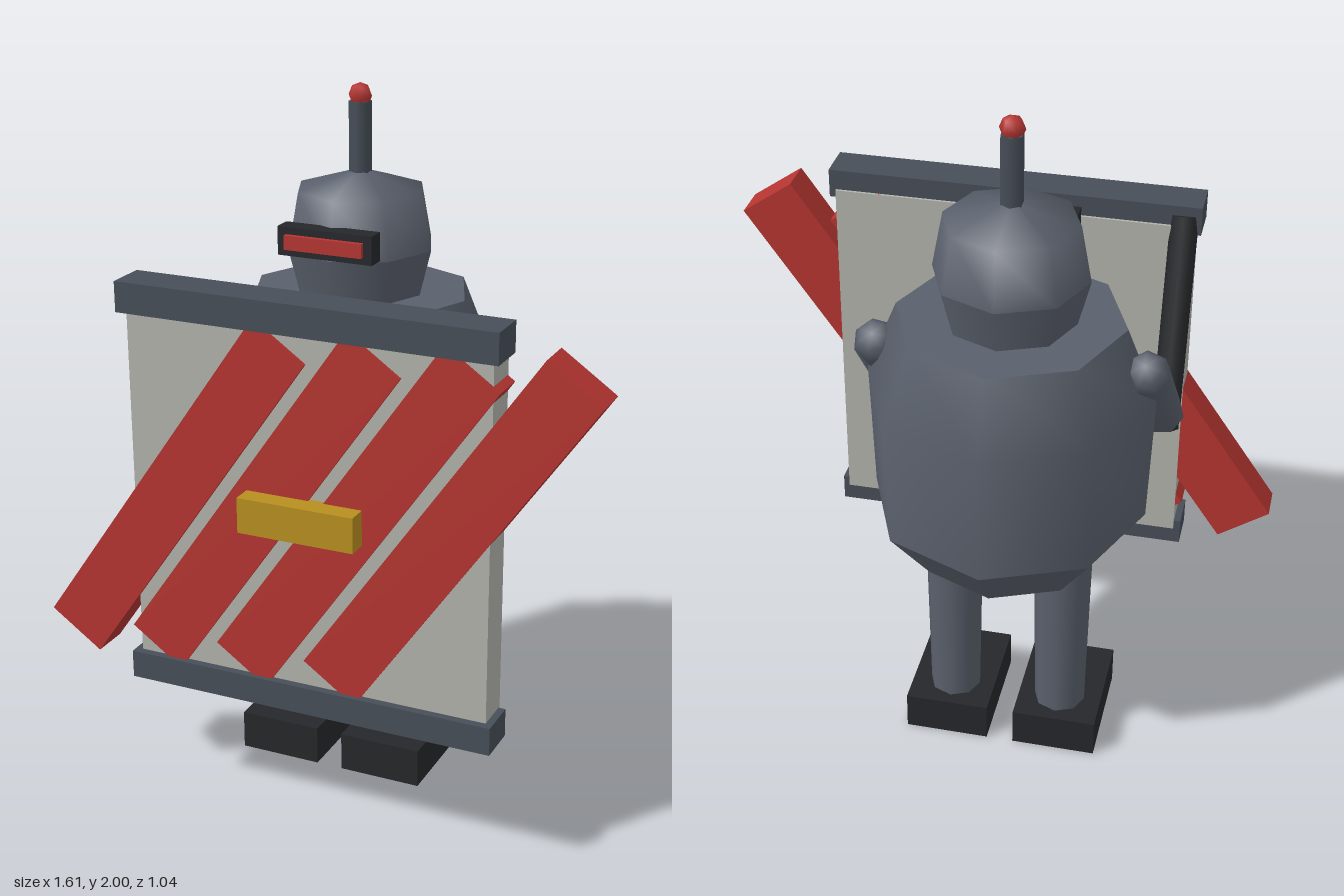
import * as THREE from 'three';

const mat = (color) => new THREE.MeshStandardMaterial({ color });
const STEEL = mat(0x5a606c), RAIL = mat(0x474e58), DARK = mat(0x25272a);
const RED = mat(0xb53531), GOLD = mat(0xb88f1f), PANEL = mat(0xb2b2ac);
const CX = -0.1, CZ = -0.12; // axis of the robot

function add(parent, name, geometry, material, x = 0, y = 0, z = 0) {
  const mesh = new THREE.Mesh(geometry, material);
  mesh.name = name;
  mesh.position.set(x, y, z);
  parent.add(mesh);
  return mesh;
}

// Box given by its limits on each axis
function box(parent, name, material, [x0, x1], [y0, y1], [z0, z1]) {
  return add(parent, name, new THREE.BoxGeometry(x1 - x0, y1 - y0, z1 - z0), material,
    (x0 + x1) / 2, (y0 + y1) / 2, (z0 + z1) / 2);
}

// Turns a y-aligned mesh so it runs from a to b
function span(mesh, a, b) {
  mesh.position.copy(a).add(b).multiplyScalar(0.5);
  mesh.quaternion.setFromUnitVectors(new THREE.Vector3(0, 1, 0), b.clone().sub(a).normalize());
}

const turned = (points) =>
  new THREE.LatheGeometry(points.map(([r, y]) => new THREE.Vector2(r, y)), 8);

export function createModel() {
  const model = new THREE.Group();
  model.name = 'shieldRobot';

  // Robot, built around its own vertical axis
  const robot = new THREE.Group();
  robot.name = 'robot';
  robot.position.set(CX, 0, CZ);
  model.add(robot);

  // Torso: tapered belly, barrel chest and flat shoulder plate
  add(robot, 'belly', new THREE.CylinderGeometry(0.387, 0.265, 0.16, 8), STEEL, 0, 0.75, 0);
  add(robot, 'chest', turned([[0.387, 0.83], [0.4, 1.21], [0.315, 1.42]]), STEEL);
  const plate = add(robot, 'shoulderPlate', new THREE.CircleGeometry(0.315, 8), STEEL, 0, 1.42, 0);
  plate.rotation.x = -Math.PI / 2;
  box(robot, 'chestPlate', GOLD, [-0.208, 0.208], [0.92, 1.17], [0.3, 0.395]);

  // Head
  add(robot, 'jaw', new THREE.CylinderGeometry(0.213, 0.18, 0.13, 8), STEEL, 0, 1.485, 0);
  add(robot, 'skull', turned([[0.213, 1.55], [0.183, 1.71], [0, 1.765]]), STEEL);
  box(robot, 'visor', DARK, [-0.14, 0.14], [1.56, 1.64], [0.18, 0.235]);
  box(robot, 'visorSlit', RED, [-0.115, 0.115], [1.58, 1.62], [0.22, 0.25]);
  add(robot, 'antenna', new THREE.CylinderGeometry(0.032, 0.032, 0.22, 6), RAIL, 0, 1.84, 0);
  add(robot, 'antennaTip', new THREE.SphereGeometry(0.035, 6, 4), RED, 0, 1.965, 0);

  // Limbs, mirrored
  for (const [side, s] of [['left', 1], ['right', -1]]) {
    add(robot, side + 'Leg', new THREE.CylinderGeometry(0.086, 0.075, 0.65, 8), STEEL, s * 0.16, 0.425, 0);
    box(robot, side + 'Foot', DARK, [s * 0.1625 - 0.123, s * 0.1625 + 0.123], [0, 0.115], [-0.11, 0.235]);
    const shoulder = new THREE.Vector3(s * 0.372, 1.3, -0.01);
    const hand = new THREE.Vector3(s * 0.387, 1.0, 0.26);
    const arm = add(robot, side + 'Arm',
      new THREE.CapsuleGeometry(0.063, shoulder.distanceTo(hand), 2, 7), STEEL);
    span(arm, shoulder, hand);
  }

  // Bar held in the right hand, joining the shield
  const low = new THREE.Vector3(-0.493, 0.93, 0.17), high = new THREE.Vector3(-0.49, 1.51, 0.375);
  const bar = add(model, 'shieldBar', new THREE.CylinderGeometry(0.04, 0.04, low.distanceTo(high), 8), DARK);
  span(bar, low, high);

  // Shield: panel, rails, slanted stripes and nameless plaque
  const shield = new THREE.Group();
  shield.name = 'shield';
  model.add(shield);
  box(shield, 'panel', PANEL, [-0.52, 0.52], [0.435, 1.485], [0.35, 0.452]);
  box(shield, 'topRail', RAIL, [-0.54, 0.54], [1.46, 1.545], [0.358, 0.475]);
  box(shield, 'bottomRail', RAIL, [-0.54, 0.54], [0.38, 0.46], [0.358, 0.475]);
  for (let i = 0; i < 4; i++) {
    const stripe = add(shield, 'stripe', new THREE.BoxGeometry(0.182, 1.16, 0.108), RED,
      -0.4 + i * 0.2667, 0.96, 0.408);
    stripe.rotation.z = -0.61;
  }
  box(shield, 'plaque', GOLD, [-0.168, 0.168], [0.91, 1.01], [0.45, 0.52]);

  return model;
}
